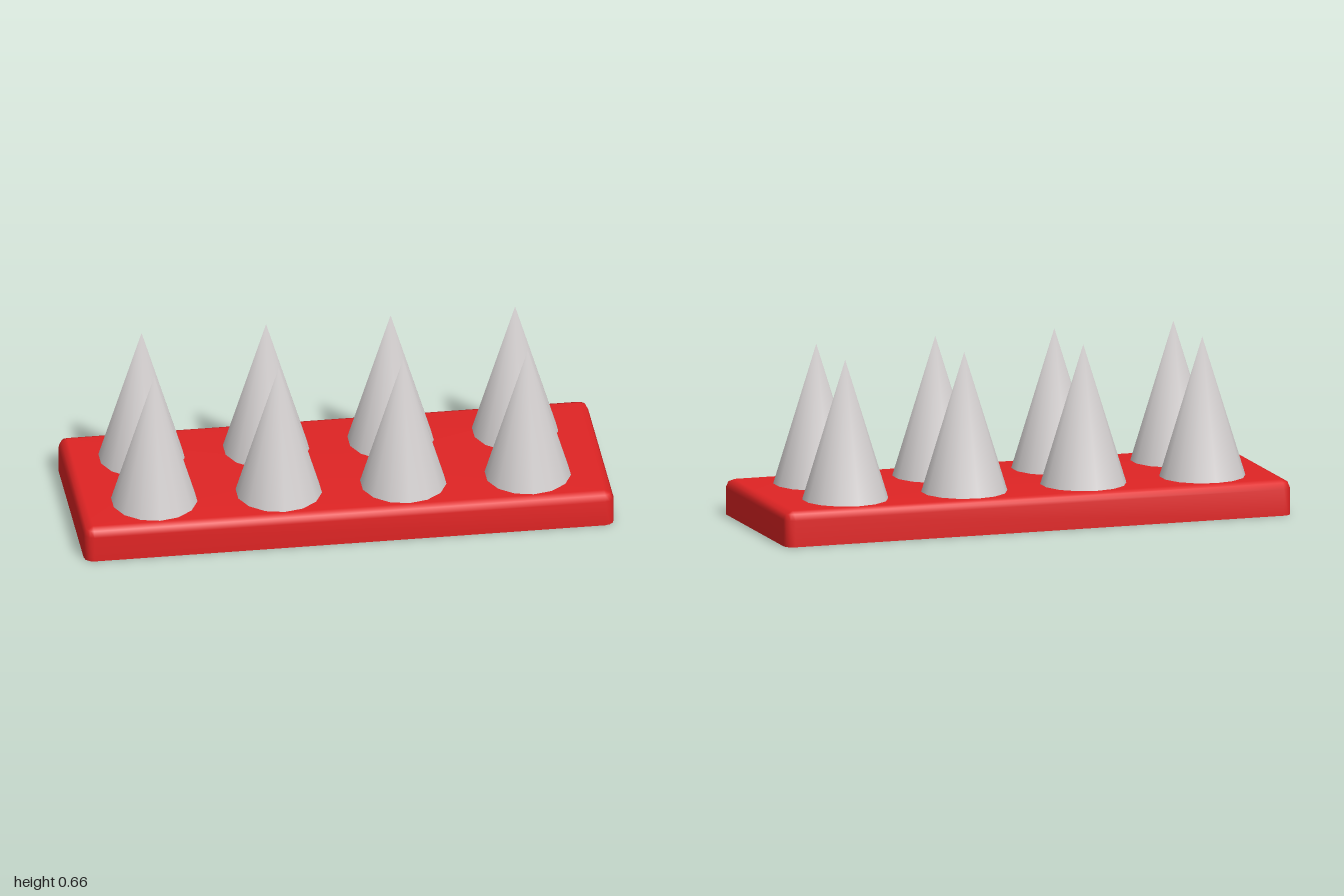
import * as THREE from 'three';

// Smooth open-bottomed shell: equal-length rings stacked upward, closed by one shared top point.
function loft(rings, top) {
  const n = rings[0].length;
  const points = [...rings.flat(), top];
  const index = [];
  rings.forEach((ring, r) => {
    for (let i = 0; i < n; i++) {
      const a = r * n + i, b = r * n + (i + 1) % n;
      if (r === rings.length - 1) index.push(points.length - 1, a, b);
      else index.push(a, b, a + n, b, b + n, a + n);
    }
  });
  const geometry = new THREE.BufferGeometry();
  geometry.setAttribute('position', new THREE.Float32BufferAttribute(points.flat(), 3));
  geometry.setIndex(index);
  geometry.computeVertexNormals();
  return geometry;
}

// Rounded rectangle at height y, counterclockwise from above.
function roundedRing(halfX, halfZ, radius, y) {
  const ring = [];
  const steps = 3;
  [[1, -1], [-1, -1], [-1, 1], [1, 1]].forEach(([sx, sz], corner) => {
    for (let i = 0; i <= steps; i++) {
      const t = (corner + i / steps) * Math.PI / 2;
      ring.push([
        sx * (halfX - radius) + radius * Math.cos(t),
        y,
        sz * (halfZ - radius) - radius * Math.sin(t),
      ]);
    }
  });
  return ring;
}

function circleRing(radius, y, sides) {
  return Array.from({ length: sides }, (_, i) => {
    const t = ((i + 0.5) / sides) * Math.PI * 2;
    return [radius * Math.cos(t), y, -radius * Math.sin(t)];
  });
}

export function createModel() {
  const model = new THREE.Group();
  model.name = 'spikeTrap';

  const red = new THREE.MeshStandardMaterial({ color: 0xe02424, side: THREE.DoubleSide });
  red.name = 'red';
  const grey = new THREE.MeshStandardMaterial({ color: 0xd2cece, side: THREE.DoubleSide });
  grey.name = 'lightGrey';

  // Hollow base with a bevelled top edge: [height, inset]
  const profile = [[0, 0], [0.1, 0], [0.123, 0.01], [0.133, 0.034]];
  const rings = profile.map(([y, inset]) => roundedRing(1 - inset, 0.367 - inset, 0.036 - inset, y));
  const base = new THREE.Mesh(loft(rings, [0, 0.133, 0]), red);
  base.name = 'base';
  model.add(base);

  // Two rows of four spikes
  const spikeGeometry = loft([circleRing(0.162, 0, 14)], [0, 0.528, 0]);
  for (const z of [0.167, -0.167]) {
    for (let i = 0; i < 4; i++) {
      const spike = new THREE.Mesh(spikeGeometry, grey);
      spike.name = 'spike';
      spike.position.set(-0.71 + i * 0.47, 0.133, z);
      model.add(spike);
    }
  }
  return model;
}
